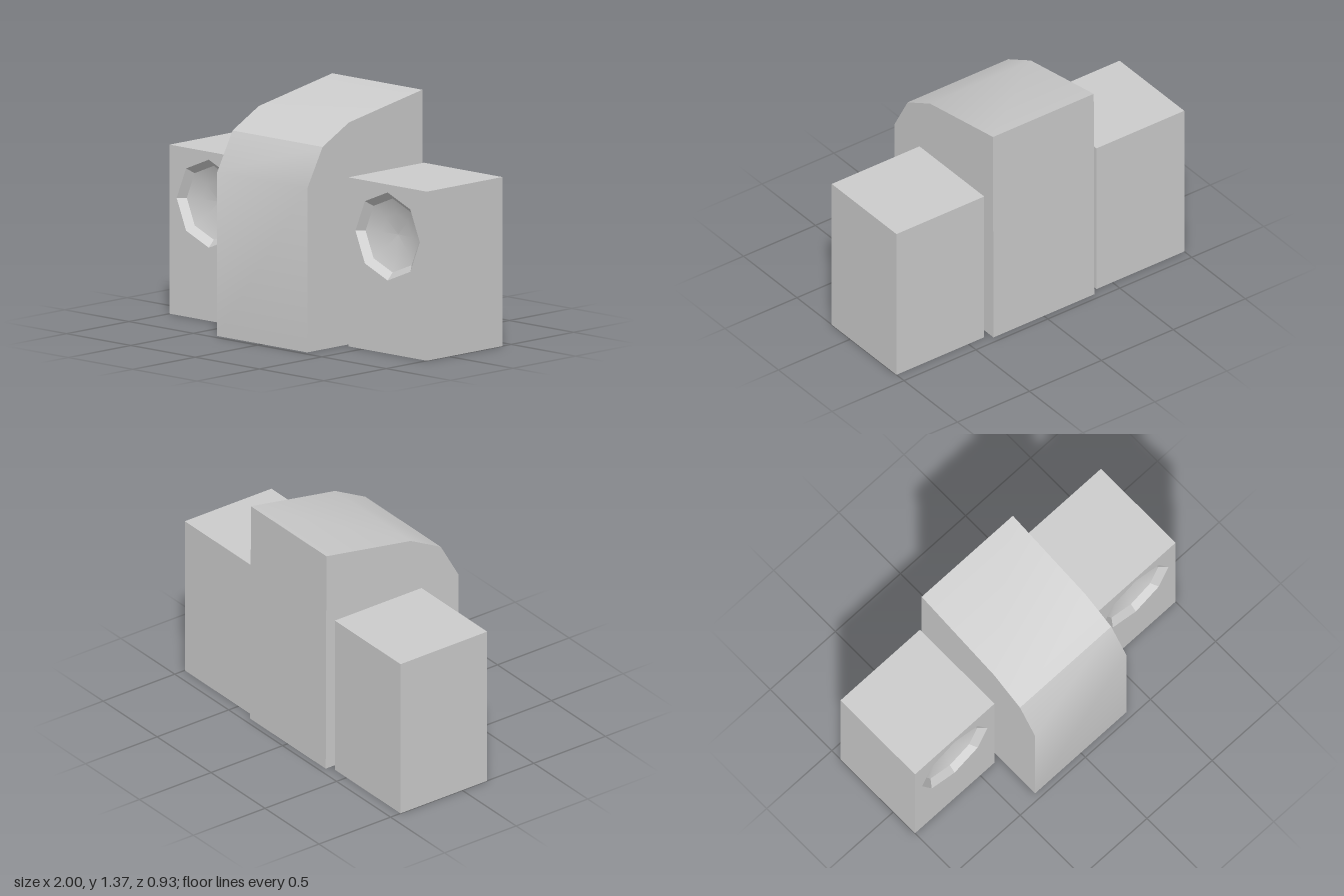
import * as THREE from 'three';
import { toCreasedNormals } from 'three/addons/utils/BufferGeometryUtils.js';

const smooth = new THREE.MeshStandardMaterial({ color: 0xcccccc });
const faceted = new THREE.MeshStandardMaterial({ color: 0xcccccc, flatShading: true });

function part(name, geometry, material) {
  const mesh = new THREE.Mesh(geometry, material);
  mesh.name = name;
  return mesh;
}

// Side profile as (z, y), extruded across x
function createCentreBlock() {
  const profile = [
    [0.463, 0], [0.463, 0.93], [0.34, 1.15], [0.13, 1.26], [-0.458, 1.365], [-0.463, 0],
  ].map(([z, y]) => new THREE.Vector2(z, y));
  const width = 0.7;
  const geometry = new THREE.ExtrudeGeometry(new THREE.Shape(profile), { depth: width, bevelEnabled: false });
  geometry.translate(0, 0, -width / 2).rotateY(-Math.PI / 2);
  return part('centreBlock', toCreasedNormals(geometry, THREE.MathUtils.degToRad(31)), smooth);
}

// Eight-sided dish facing +z, turned from (radius, depth) points
function dish(points) {
  const profile = points.map(([r, y]) => new THREE.Vector2(r, y));
  return new THREE.LatheGeometry(profile, 8).rotateX(Math.PI / 2);
}

function createSideBlock(name) {
  const group = new THREE.Group();
  group.name = name;
  const w = 0.61, h = 0.96, front = 0.175, back = -0.43;
  const holeY = 0.665, holeR = 0.25;

  // Box without its front face
  const box = new THREE.BoxGeometry(w, h, front - back);
  const index = Array.from(box.index.array);
  index.splice(24, 6);
  box.setIndex(index);
  box.clearGroups();
  box.translate(0, h / 2, (front + back) / 2);
  group.add(part('blockBody', box, smooth));

  // Front face with an octagonal opening
  const face = new THREE.Shape([[-w / 2, 0], [w / 2, 0], [w / 2, h], [-w / 2, h]]
    .map(([x, y]) => new THREE.Vector2(x, y)));
  const corners = [];
  for (let i = 0; i < 8; i++) {
    const a = -i * Math.PI / 4;
    corners.push(new THREE.Vector2(holeR * Math.cos(a), holeY + holeR * Math.sin(a)));
  }
  face.holes.push(new THREE.Path(corners));
  group.add(part('blockFront', new THREE.ShapeGeometry(face).translate(0, 0, front), smooth));

  // Recess: bevelled rim and shallow bowl
  const rim = part('recessRim', dish([[holeR, 0], [0.21, -0.04]]), faceted);
  const bowl = part('recessBowl', dish([[0.21, -0.04], [0.12, -0.073], [0, -0.085]]), smooth);
  for (const mesh of [rim, bowl]) {
    mesh.position.set(0, holeY, front);
    group.add(mesh);
  }
  return group;
}

export function createModel() {
  const model = new THREE.Group();
  model.name = 'model';
  model.add(createCentreBlock());
  for (const [name, side] of [['leftBlock', 1], ['rightBlock', -1]]) {
    const block = createSideBlock(name);
    block.position.x = side * 0.695;
    model.add(block);
  }
  return model;
}
